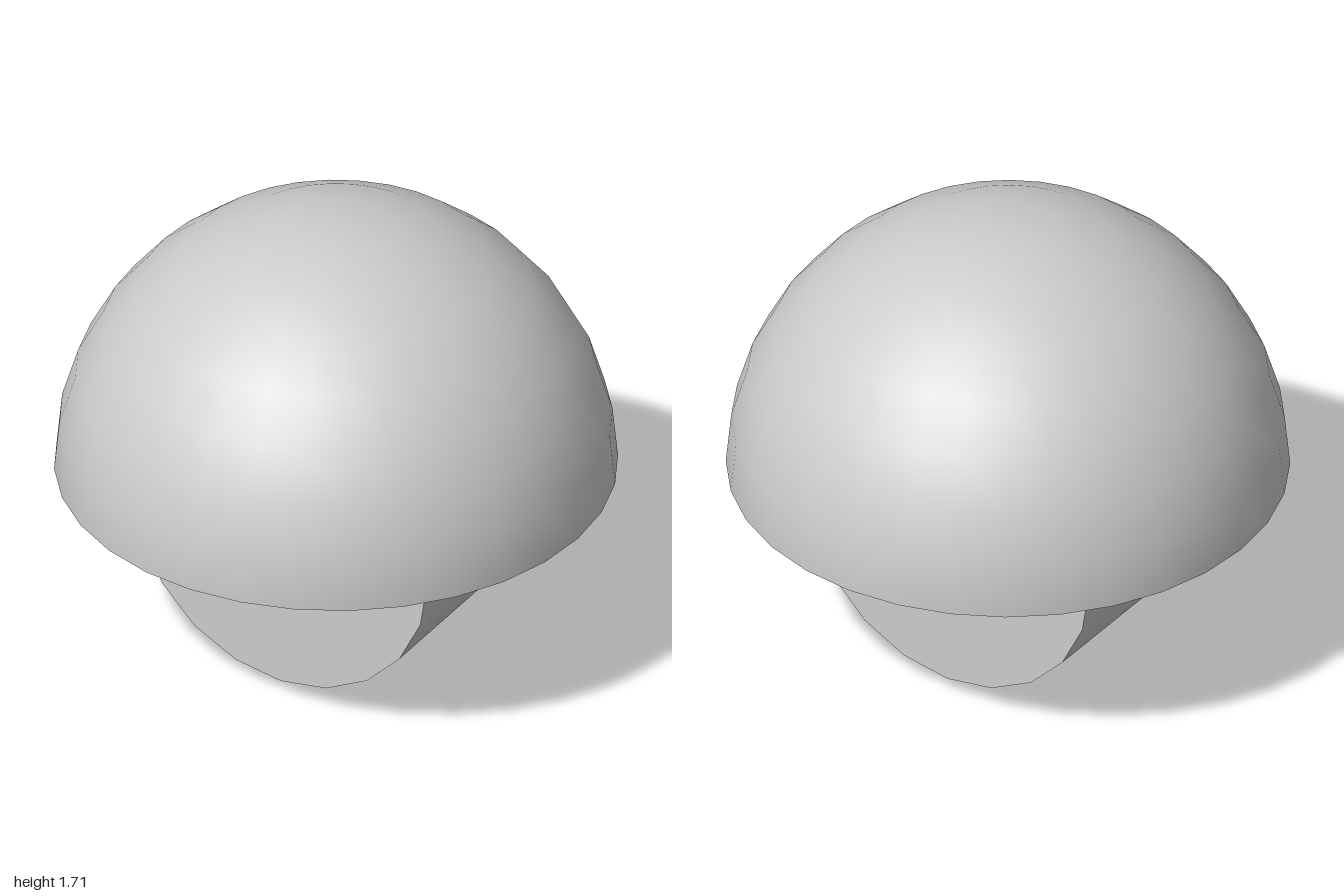
import * as THREE from 'three';

export function createModel() {
  const model = new THREE.Group();
  const material = new THREE.MeshStandardMaterial({ color: 0xcccccc });
  const domeRadius = 1, domeBase = 0.713;
  const stemRadius = 0.606, stemDepth = 0.757;

  function add(name, geometry, y, rotationX = 0, parent = model) {
    const mesh = new THREE.Mesh(geometry, material);
    mesh.name = name;
    mesh.position.y = y;
    mesh.rotation.x = rotationX;
    parent.add(mesh);
    return mesh;
  }

  // Hemispherical cap, closed by a flat underside
  const cap = new THREE.Group();
  cap.name = 'cap';
  model.add(cap);
  add('dome', new THREE.SphereGeometry(domeRadius, 32, 8, 0, Math.PI * 2, 0, Math.PI / 2), domeBase, 0, cap);
  add('underside', new THREE.CircleGeometry(domeRadius, 32), domeBase, Math.PI / 2, cap);

  // Drum lying front to back, its upper half sunk into the cap
  add('drum', new THREE.CylinderGeometry(stemRadius, stemRadius, stemDepth, 20), stemRadius, Math.PI / 2);

  return model;
}
